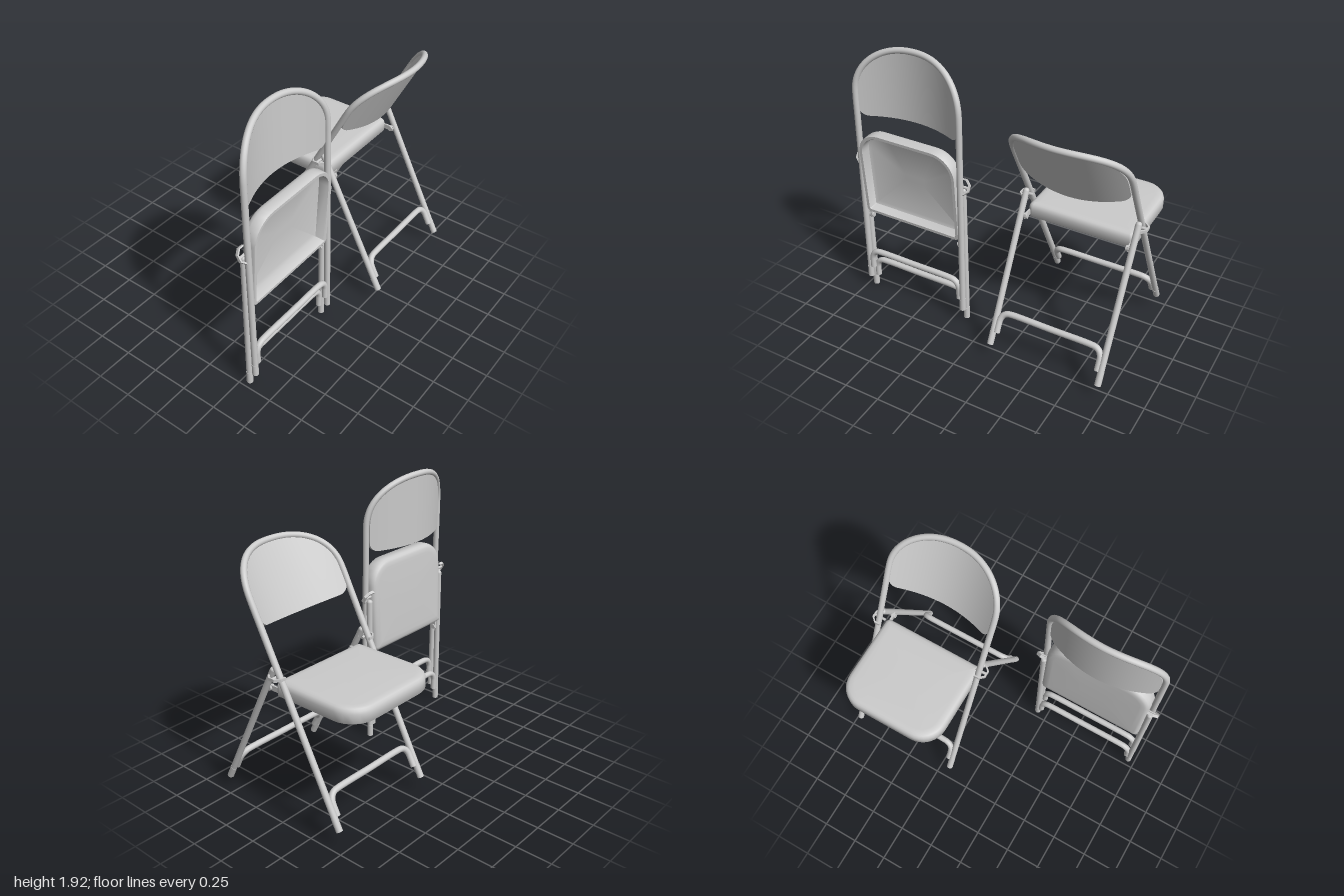
import * as THREE from 'three';
import { toCreasedNormals } from 'three/addons/utils/BufferGeometryUtils.js';

const HALF = 0.39;        // half spacing of the side tubes
const R = 0.021;          // tube radius
const ARC_Y = 1.47, ARC_H = 0.325, POWER = 2.3, BULGE = 0.11;
const metal = new THREE.MeshStandardMaterial({ color: 0xcccccc, side: THREE.DoubleSide });

const V = (x, y, z = 0) => new THREE.Vector3(x, y, z);
// Backward curve of the backrest across its width
const bulge = (x) => -BULGE * (1 - (x / HALF) ** 2);

function add(parent, name, geometry, x = 0, y = 0, z = 0) {
  const mesh = new THREE.Mesh(geometry, metal);
  mesh.name = name;
  mesh.position.set(x, y, z);
  parent.add(mesh);
  return mesh;
}

function tube(points, segments) {
  const curve = new THREE.CatmullRomCurve3(points, false, 'centripetal');
  return new THREE.TubeGeometry(curve, segments, R, 14);
}

// Bar between two legs, its ends turned down along them
function crossBar() {
  const side = [V(0.363, 0.09), V(0.363, 0.15), V(0.36, 0.185), V(0.345, 0.215), V(0.32, 0.232), V(0.285, 0.237)];
  const other = side.map((p) => V(-p.x, p.y)).reverse();
  return tube([...side, V(0, 0.237), ...other], 70);
}

function addFeet(parent) {
  for (const s of [-1, 1]) add(parent, 'foot', new THREE.CylinderGeometry(R + 0.001, R + 0.001, 0.09, 14), s * HALF, 0.045);
}

// Thin panel narrowed to the arch of the tube and bent backwards
function backrestPanel() {
  const y0 = 1.31, y1 = 1.79, corner = 0.06, w = 0.372;
  const geo = new THREE.BoxGeometry(2, 1, 0.02, 28, 32, 1);
  const p = geo.attributes.position;
  for (let i = 0; i < p.count; i++) {
    const t = (1 - Math.cos(Math.PI * (p.getY(i) + 0.5))) / 2;
    const y = y0 + t * (y1 - y0);
    const k = Math.min(1, Math.max(0, (y - ARC_Y) / (y1 - ARC_Y)));
    let h = w * Math.pow(1 - k ** POWER, 1 / POWER);
    const d = corner - (y - y0);
    if (d > 0) h -= corner - Math.sqrt(Math.max(0, corner * corner - d * d));
    const x = p.getX(i) * h;
    p.setXYZ(i, x, y, bulge(x) + p.getZ(i));
  }
  geo.computeVertexNormals();
  return geo;
}

// Front uprights joined over the top in one bent tube
function mainFrame() {
  const g = new THREE.Group();
  g.name = 'mainFrame';
  const pts = [V(HALF, 0), V(HALF, 0.7), V(HALF, 1.3)];
  for (let i = 0; i <= 24; i++) {
    const a = (Math.PI * i) / 24, c = Math.cos(a), e = 2 / POWER;
    const x = HALF * Math.sign(c) * Math.abs(c) ** e;
    pts.push(V(x, ARC_Y + ARC_H * Math.max(0, Math.sin(a)) ** e, bulge(x)));
  }
  pts.push(V(-HALF, 1.3), V(-HALF, 0.7), V(-HALF, 0));
  add(g, 'archedTube', tube(pts, 160));
  add(g, 'frontCrossBar', crossBar());
  add(g, 'backrestPanel', backrestPanel());
  addFeet(g);
  return g;
}

function rearLegs() {
  const g = new THREE.Group();
  g.name = 'rearLegs';
  const length = 1.055;
  for (const s of [-1, 1]) {
    add(g, 'rearLeg', new THREE.CylinderGeometry(R, R, length, 14), s * HALF, length / 2);
    add(g, 'rearLegTip', new THREE.SphereGeometry(R, 14, 8), s * HALF, length);
  }
  add(g, 'rearCrossBar', crossBar());
  addFeet(g);
  return g;
}

// Seat outline inset by d, large corners at the front, small at the back
function seatOutline(d) {
  const w = 0.373 - d, z0 = d, z1 = 0.65 - d, pts = [];
  const corners = [[1, 1, 0.17], [-1, 1, 0.17], [-1, -1, 0.035], [1, -1, 0.035]];
  corners.forEach(([sx, sz, radius], q) => {
    const r = Math.max(radius - d, 0.006);
    for (let i = 0; i <= 8; i++) {
      const a = (q + i / 8) * Math.PI / 2;
      pts.push([sx * (w - r) + r * Math.cos(a), (sz > 0 ? z1 - r : z0 + r) + r * Math.sin(a)]);
    }
  });
  return pts;
}

// Pressed seat pan: domed edge, skirt, rolled lip and hollow underside
function seatPan() {
  const profile = [[0.3, 0.1], [0.06, 0.1], [0.03, 0.098], [0.015, 0.092], [0.005, 0.08], [0, 0.062],
    [0, 0.006], [0.004, 0], [0.024, 0], [0.028, 0.006], [0.028, 0.07], [0.05, 0.08], [0.3, 0.08]];
  const pos = [], idx = [];
  const n = seatOutline(0).length;
  profile.forEach(([d, y]) => {
    for (const [x, z] of seatOutline(d)) pos.push(x, y, z);
  });
  for (let j = 0; j < profile.length - 1; j++) {
    for (let i = 0; i < n; i++) {
      const a = j * n + i, b = j * n + (i + 1) % n, c = a + n, e = b + n;
      idx.push(a, b, c, b, e, c);
    }
  }
  // Close the middle, above and below
  const last = (profile.length - 1) * n;
  for (let i = 1; i < n - 1; i++) {
    idx.push(0, i + 1, i, last, last + i, last + i + 1);
  }
  const geo = new THREE.BufferGeometry();
  geo.setAttribute('position', new THREE.Float32BufferAttribute(pos, 3));
  geo.setIndex(idx);
  return toCreasedNormals(geo, 0.7);
}

function pin(radius, length) {
  return new THREE.CylinderGeometry(radius, radius, length, 10).rotateZ(Math.PI / 2);
}

function seat() {
  const g = new THREE.Group();
  g.name = 'seat';
  add(g, 'seatPan', seatPan());
  for (const s of [-1, 1]) {
    add(g, 'seatHingePlate', new THREE.BoxGeometry(0.012, 0.035, 0.12), s * 0.36, 0.035, -0.005);
    add(g, 'seatHingePin', pin(0.018, 0.035), s * 0.362, 0.035, -0.05);
    add(g, 'seatPivotPin', pin(0.014, 0.04), s * 0.375, 0.045, 0.12);
  }
  return g;
}

// Bent strap around the outside of both tubes, with a pin through it
function hingeStraps() {
  const g = new THREE.Group();
  g.name = 'hingeStraps';
  const outline = new THREE.Shape([[0.37, -0.055], [0.41, -0.055], [0.443, -0.024], [0.443, 0.024], [0.41, 0.055],
    [0.37, 0.055], [0.37, 0.045], [0.405, 0.045], [0.433, 0.019], [0.433, -0.019], [0.405, -0.045], [0.37, -0.045]]
    .map(([x, z]) => new THREE.Vector2(x, z)));
  const strap = new THREE.ExtrudeGeometry(outline, { depth: 0.02, bevelEnabled: false });
  strap.translate(0, 0, -0.01).rotateX(Math.PI / 2);
  for (const s of [0, 1]) {
    const side = new THREE.Group();
    side.name = 'hinge';
    side.rotation.y = s * Math.PI;
    add(side, 'strap', strap);
    add(side, 'strapPin', pin(0.01, 0.08), 0.396);
    g.add(side);
  }
  return g;
}

// Each pose is [y, z, tilt] for a part
function chair(name, x, yaw, poses) {
  const g = new THREE.Group();
  g.name = name;
  g.position.x = x;
  g.rotation.y = yaw;
  [mainFrame(), rearLegs(), seat(), hingeStraps()].forEach((part, i) => {
    const [y, z, tilt] = poses[i];
    part.position.set(0, y, z);
    part.rotation.x = tilt;
    g.add(part);
  });
  return g;
}

export function createModel() {
  const model = new THREE.Group();
  model.name = 'foldingChairs';
  model.add(
    chair('openChair', 0.557, Math.PI, [[0.12, 0.445, -0.475], [0.1, -0.55, 0.475], [0.855, -0.08, 0], [1.0, -0.035, 0]]),
    chair('foldedChair', -0.56, 0, [[0.11, 0.35, -0.018], [0.005, 0.3, -0.004], [0.68, 0.345, -Math.PI / 2 + 0.05], [1.095, 0.305, -2.15]]),
  );
  return model;
}
